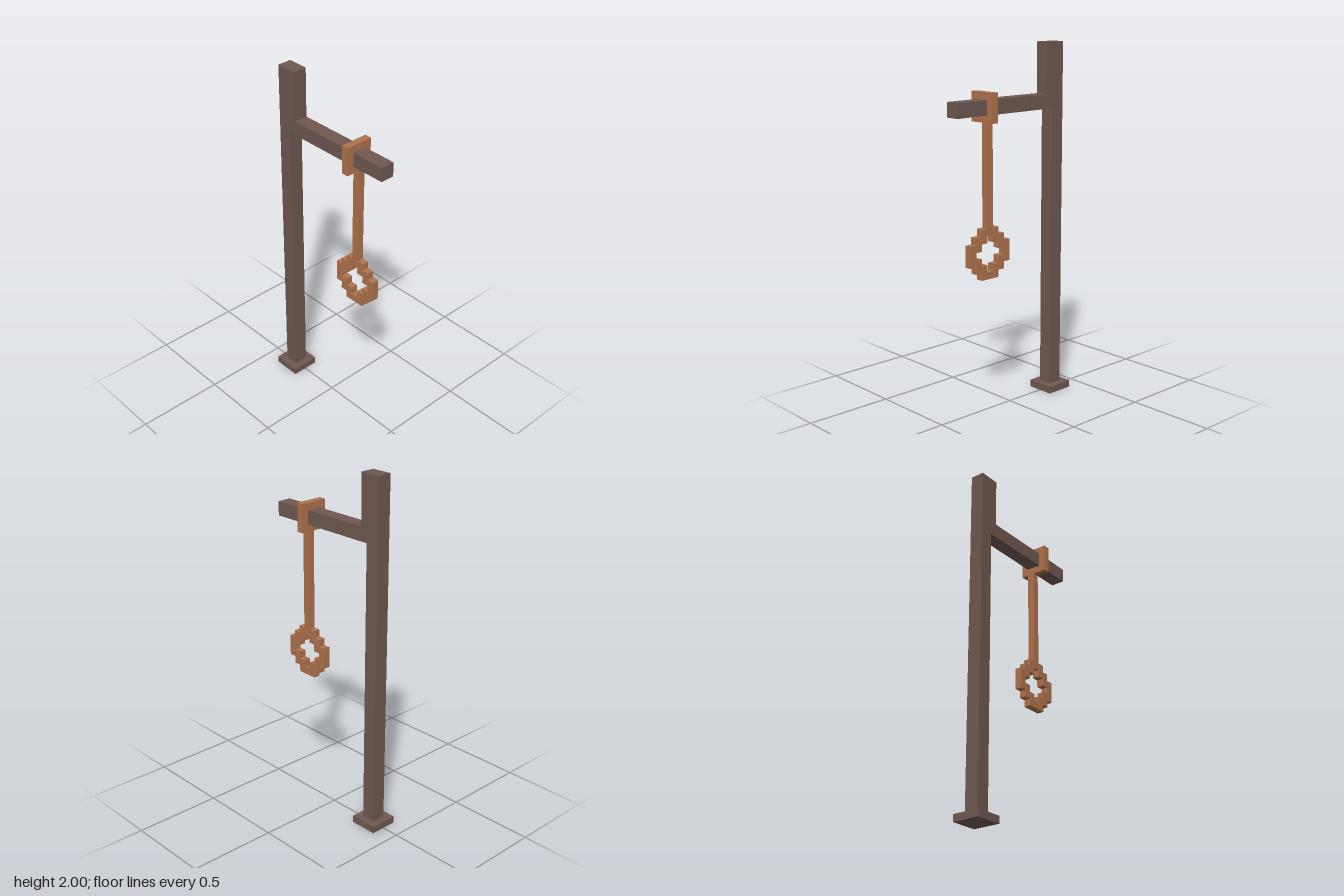
import * as THREE from 'three';

const U = 0.04; // the grid step every part snaps to

const darkWood = new THREE.MeshStandardMaterial({ color: 0x6f5850 });
darkWood.name = 'darkWood';
const rope = new THREE.MeshStandardMaterial({ color: 0xb0734d });
rope.name = 'rope';

const toPoints = (list) => list.map(([a, b]) => new THREE.Vector2(a * U, b * U));

// Repeats one staircase quarter around the centre to make a stepped ring outline
function steppedOutline(quarter) {
  const pts = [];
  let q = quarter;
  for (let i = 0; i < 4; i++) {
    pts.push(...q);
    q = q.map(([a, b]) => [-b, a]);
  }
  return toPoints(pts);
}

function extrude(shape, depth) {
  return new THREE.ExtrudeGeometry(shape, { depth: depth * U, bevelEnabled: false });
}

// Extrudes a (z, y) profile sideways, from x0 to x1 in grid steps
function extrudeSideways(shape, x0, x1) {
  return extrude(shape, x1 - x0).rotateY(-Math.PI / 2).translate(x1 * U, 0, 0);
}

export function createModel() {
  const group = new THREE.Group();
  const add = (name, geometry, material) => {
    const mesh = new THREE.Mesh(geometry, material);
    mesh.name = name;
    group.add(mesh);
    return mesh;
  };
  const box = (name, [w, h, d], [x, y, z], material) =>
    add(name, new THREE.BoxGeometry(w * U, h * U, d * U), material).position.set(x * U, y * U, z * U);

  // Foot plate
  box('base', [4, 1, 4], [0, 0.5, -8], darkWood);

  // Post, thicker above the arm, with the arm reaching forward
  const frame = new THREE.Shape(toPoints([
    [-9, 1], [-7, 1], [-7, 41], [10, 41], [10, 43], [-6, 43], [-6, 50], [-9, 50],
  ]));
  add('postAndArm', extrudeSideways(frame, -1, 1), darkWood);

  // Square rope collar wrapped around the arm
  const collar = new THREE.Shape(toPoints([[-2, 40], [2, 40], [2, 44], [-2, 44]]));
  collar.holes.push(new THREE.Path(toPoints([[-1, 41], [-1, 43], [1, 43], [1, 41]])));
  add('ropeCollar', extrude(collar, 1).translate(0, 0, 4 * U), rope);

  // Hanging rope
  box('hangingRope', [1, 14, 1], [0.5, 33, 4.5], rope);

  // Stepped loop at the rope's end
  const loop = new THREE.Shape(steppedOutline([[3.5, 1.5], [2.5, 1.5], [2.5, 2.5], [1.5, 2.5], [1.5, 3.5]]));
  loop.holes.push(new THREE.Path(steppedOutline([[2.5, 0.5], [1.5, 0.5], [1.5, 1.5], [0.5, 1.5], [0.5, 2.5]])));
  add('ropeLoop', extrudeSideways(loop, 0, 1), rope).position.set(0, 22.5 * U, 4.5 * U);

  return group;
}
